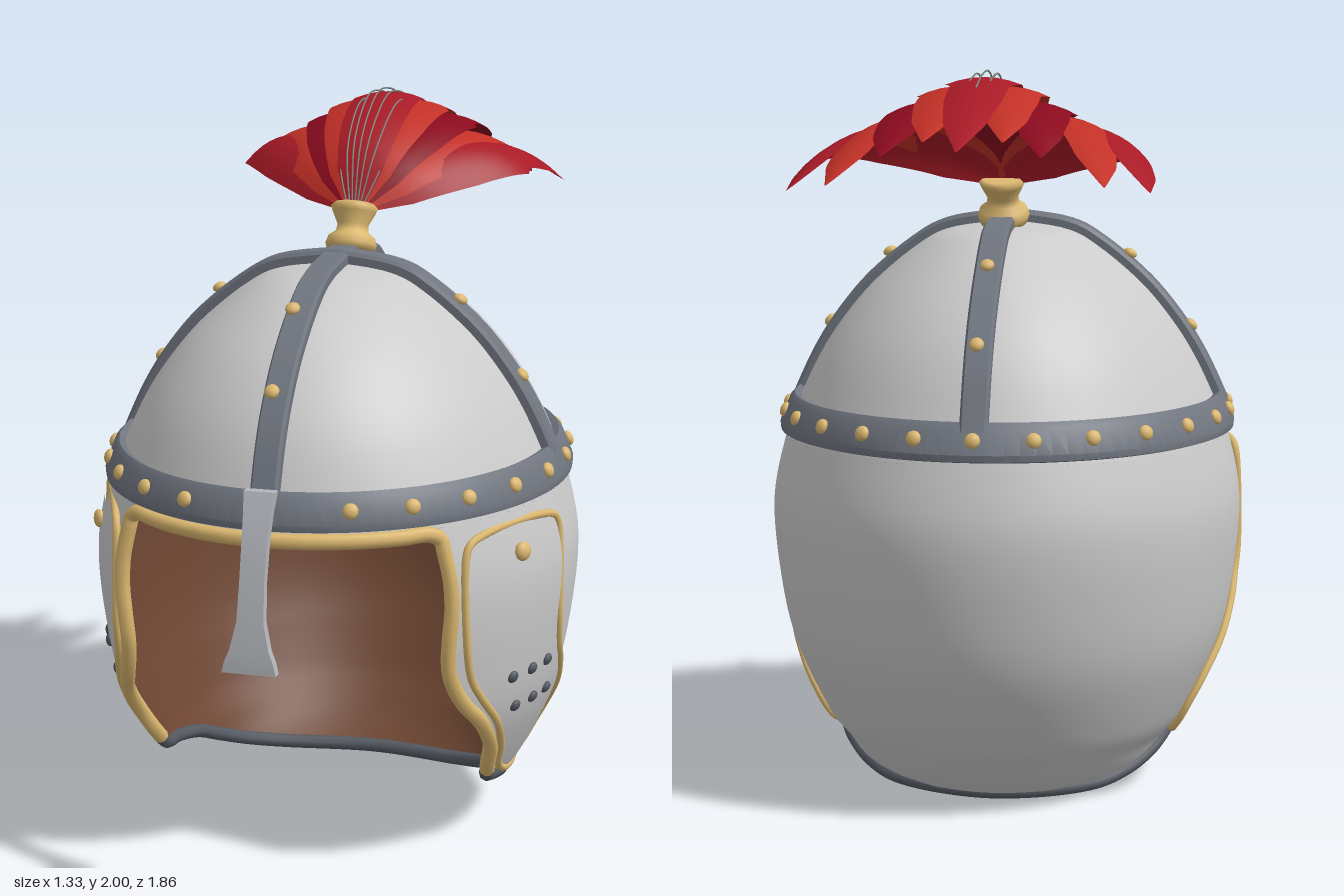
import * as THREE from 'three';
import { mergeVertices, toCreasedNormals } from 'three/addons/utils/BufferGeometryUtils.js';

const V = (x, y, z) => new THREE.Vector3(x, y, z);
const mat = (color, side = THREE.FrontSide) => new THREE.MeshStandardMaterial({ color, side });
const STEEL = mat(0xcccccc), NOSE = mat(0xb4b7bd), IRON = mat(0x70757f), DARK = mat(0x555a63);
const GOLD = mat(0xdcb870), LEATHER = mat(0x6e4632, THREE.DoubleSide), STEM = mat(0x7d857c);
const REDS = [0xa81a26, 0x8a0a1e, 0xc23026].map((c) => mat(c, THREE.DoubleSide));

// Shell sections: height, half width, front z, back z
const ROWS = [
  [0, .36, .38, -.3], [.06, .42, .46, -.385], [.12, .46, .54, -.45], [.2, .52, .62, -.52],
  [.4, .61, .76, -.63], [.6, .65, .81, -.68], [.8, .662, .825, -.695], [.98, .626, .8, -.655],
  [1.08, .588, .77, -.615], [1.2, .53, .72, -.56], [1.3, .465, .655, -.495], [1.4, .38, .56, -.4],
  [1.5, .26, .415, -.27], [1.55, .165, .285, -.16], [1.575, 0, .065, .065],
];
const widthCurve = new THREE.CatmullRomCurve3(ROWS.map((r) => V(r[1], r[0], 0)), false, 'catmullrom');
const depthCurve = new THREE.CatmullRomCurve3(ROWS.map((r) => V(r[2], r[0], r[3])), false, 'catmullrom');

function section(t) {
  const a = widthCurve.getPoint(t), b = depthCurve.getPoint(t);
  return { y: a.y, rx: a.x, c: (b.x + b.z) / 2, r: (b.x - b.z) / 2 };
}
function tOf(y) {
  let lo = 0, hi = 1;
  for (let i = 0; i < 24; i++) {
    const m = (lo + hi) / 2;
    if (widthCurve.getPoint(m).y < y) lo = m; else hi = m;
  }
  return (lo + hi) / 2;
}
// Point on the shell at angle phi from the front, pushed outward by off
function onShell(phi, t, off = 0) {
  const s = section(t);
  const p = V(s.rx * Math.sin(phi), s.y, s.c + s.r * Math.cos(phi));
  return p.addScaledVector(p.clone().sub(V(0, .8, .065)).normalize(), off);
}
function phiAt(z, y) {
  const s = section(tOf(y));
  return Math.acos(THREE.MathUtils.clamp((z - s.c) / s.r, -1, 1));
}
const onSide = (z, y, off) => onShell(phiAt(z, y), tOf(y), off);

// Piecewise linear lookup in rows of [key, value...]
function lookup(table, k, col = 1) {
  let i = 1;
  while (i < table.length - 1 && table[i][0] < k) i++;
  const a = table[i - 1], b = table[i];
  return THREE.MathUtils.lerp(a[col], b[col], THREE.MathUtils.clamp((k - a[0]) / (b[0] - a[0]), 0, 1));
}

// Grid surface from fn(u, v), facing along du x dv
function sheet(fn, nu, nv, crease = 0) {
  const pos = [], idx = [];
  for (let j = 0; j <= nv; j++) for (let i = 0; i <= nu; i++) pos.push(...fn(i / nu, j / nv).toArray());
  for (let j = 0; j < nv; j++) for (let i = 0; i < nu; i++) {
    const a = j * (nu + 1) + i, d = a + nu + 1;
    idx.push(a, a + 1, d, a + 1, d + 1, d);
  }
  let g = new THREE.BufferGeometry();
  g.setAttribute('position', new THREE.Float32BufferAttribute(pos, 3));
  g.setIndex(idx);
  g = mergeVertices(g, 1e-5);
  if (crease) return toCreasedNormals(g, crease);
  g.computeVertexNormals();
  return g;
}

// Front limit of the shell sides: face opening above, neck edge below
const EDGE = [[0, -.3], [.05, -.16], [.12, 0], [.18, .26], [.22, .3], [.3, .36], [.4, .46],
  [.48, .545], [.56, .6], [.64, .62], [.98, .62]];
const edgePhi = (y) => phiAt(lookup(EDGE, y), y);

// Cheek plate outline: height, back z, front z
const CHEEK = [[.15, -.04, .03], [.185, -.06, .19], [.235, -.065, .275], [.3, -.045, .325], [.4, .03, .415],
  [.5, .12, .51], [.56, .17, .55], [.64, .2, .575], [.9, .2, .575], [.928, .22, .555]];

export function createModel() {
  const root = new THREE.Group();
  const add = (name, geo, material, parent = root) => {
    const m = new THREE.Mesh(geo, material);
    m.name = name;
    parent.add(m);
    return m;
  };
  const tube = (name, pts, r, material, closed = false, parent = root, n = 140) =>
    add(name, new THREE.TubeGeometry(new THREE.CatmullRomCurve3(pts, closed), n, r, 8, closed), material, parent);
  const stud = (name, p, r, material, parent = root) => {
    const m = add(name, new THREE.SphereGeometry(r, 12, 8), material, parent);
    m.position.copy(p);
    m.lookAt(p.clone().multiplyScalar(2).sub(V(0, .8, .065)));
    m.scale.z = .65;
  };

  // Shell and lining; the lining meets the shell at the neck edge
  const t98 = tOf(.98), TAU = Math.PI * 2;
  const skirt = (off) => sheet((u, v) => {
    const y = .98 * v, e = edgePhi(y);
    return onShell(e + (TAU - 2 * e) * u, tOf(y), off * Math.min(1, .2 + v * 2.5));
  }, 72, 60);
  const dome = (off) => sheet((u, v) => onShell(TAU * u, t98 + (1 - t98) * v, off), 72, 32);
  add('shellSkirt', skirt(0), STEEL);
  add('shellDome', dome(0), STEEL);
  add('liningSkirt', skirt(-.022), LEATHER);
  add('liningDome', dome(-.022), LEATHER);

  // Gold trim of the face opening and iron neck edge
  const side = (ys) => ys.map((y) => onShell(edgePhi(y), tOf(y)));
  const flip = (pts) => pts.map((p) => V(-p.x, p.y, p.z)).reverse();
  const face = side([.2, .24, .3, .36, .42, .48, .54, .6, .68, .76, .84, .92, .95]);
  const brow = [], browPhi = edgePhi(.97) - .04;
  for (let i = 0; i <= 12; i++) brow.push(onShell(browPhi * (1 - i / 6), tOf(.967)));
  tube('faceTrim', [...face, ...brow, ...flip(face)], .021, GOLD, false, root, 220);
  const neck = side([.2, .18, .15, .12, .085, .05, .025]);
  tube('neckEdge', [...neck, V(0, .012, -.3), ...flip(neck)], .02, DARK);

  // Brow band
  const bandProfile = [[.99, -.01], [.99, .02], [1.005, .027], [1.07, .027], [1.086, .02], [1.086, -.01]];
  add('browBand', sheet((u, v) => {
    const [y, off] = bandProfile[Math.round(v * 5)];
    return onShell(TAU * u, tOf(y), off);
  }, 96, 5, .5), IRON);

  // Straps crossing over the dome
  const strapProfile = [[-.037, -.02], [-.037, .02], [-.03, .03], [.03, .03], [.037, .02], [.037, -.02]];
  const tBand = tOf(1.06);
  const strap = (phi, place) => sheet((u, v) => {
    const s = Math.abs(2 * u - 1), [w, off] = strapProfile[Math.round(v * 5)];
    return place(onShell(u < .5 ? phi : phi + Math.PI, 1 - (1 - tBand) * s, off), w);
  }, 60, 5, .5);
  add('lengthStrap', strap(0, (p, w) => p.setX(-w)), IRON);
  add('crossStrap', strap(Math.PI / 2, (p, w) => p.setZ(.1 + w)), IRON);

  // Rivets
  for (let k = 0; k < 12; k++) for (const s of k === 11 ? [1] : [1, -1])
    stud('bandRivet', onShell(s * (.36 + .2529 * k), tOf(1.04), .029), .021, GOLD);
  for (const [x, y, z] of [[0, 1.335, .715], [0, 1.515, .53], [0, 1.48, -.37], [0, 1.29, -.575],
    [.52, 1.28, .1], [-.52, 1.28, .1], [.345, 1.48, .1], [-.345, 1.48, .1]])
    stud('strapRivet', V(x, y, z), .02, GOLD);

  // Nose guard: height, half width, z
  const nose = [[.648, 0, .915], [.648, .072, .915], [.675, .066, .914], [.71, .052, .91], [.78, .036, .9],
    [.88, .033, .882], [.98, .034, .857], [1.05, .037, .832], [1.1, .042, .812], [1.1, 0, .812]];
  add('noseGuard', sheet((u, v) => {
    const [y, w, z] = nose[Math.round(v * 9)], i = Math.round(u * 4) % 4;
    const d = w ? .013 : 0;
    return V(i === 1 || i === 2 ? w : -w, y, z + (i < 2 ? d : -d));
  }, 4, 9, .5), NOSE);

  // Cheek plates
  for (const s of [1, -1]) {
    const cheek = new THREE.Group();
    cheek.name = s > 0 ? 'leftCheek' : 'rightCheek';
    cheek.scale.x = s;
    root.add(cheek);
    add('cheekPlate', sheet((u, v) => {
      const y = .15 + .778 * v;
      return onSide(THREE.MathUtils.lerp(lookup(CHEEK, y, 2), lookup(CHEEK, y, 1), u), y, .01);
    }, 16, 50), STEEL, cheek);
    const rim = [...CHEEK.map((r) => onSide(r[2], r[0], .01)),
      ...CHEEK.slice().reverse().map((r) => onSide(r[1], r[0], .01))];
    tube('cheekTrim', rim, .011, GOLD, true, cheek);
    stud('cheekRivet', onSide(.41, .875, .018), .026, GOLD, cheek);
    for (const [y, z0] of [[.53, .412], [.435, .367]])
      for (let i = 0; i < 3; i++) stud('cheekStud', onSide(z0 - .084 * i, y, .012), .018, DARK, cheek);
  }

  // Plume socket
  const socket = add('plumeSocket', new THREE.LatheGeometry([[0, 0], [.066, 0], [.072, .02], [.066, .04], [.046, .055],
    [.043, .075], [.06, .11], [.066, .125], [.055, .135], [0, .13]].map((p) => new THREE.Vector2(...p)), 28), GOLD);
  socket.position.set(0, 1.575, -.02);
  socket.rotation.x = -.35;

  // Feathers: a bowed blade along a curve, rolled to fan outward
  const blade = [[0, .02], [.15, .065], [.35, .09], [.55, .1], [.6, .078], [.72, .075], [.86, .055], [1, .002]];
  const feather = (mid, tip, roll, material) => {
    const base = V(0, 1.69, -.06);
    const rise = V(mid.x * .52, THREE.MathUtils.lerp(base.y, mid.y, .62), -.17);
    const fall = mid.clone().lerp(tip, .5).add(V(0, .035, 0));
    const path = new THREE.CatmullRomCurve3([base, rise, mid, fall, tip]);
    const across = V(Math.cos(roll), -Math.sin(roll), 0), down = V(-Math.sin(roll), -Math.cos(roll), 0);
    add('feather', sheet((u, v) => {
      const k = 2 * u - 1, w = lookup(blade, v);
      return path.getPoint(v).addScaledVector(across, k * w).addScaledVector(down, k * k * w * .2);
    }, 6, 40), material);
  };
  feather(V(0, 1.975, -.4), V(0, 1.8, -.93), 0, REDS[0]);
  for (const s of [1, -1]) {
    feather(V(.075 * s, 1.95, -.4), V(.1 * s, 1.82, -.82), .08 * s, REDS[2]);
    feather(V(.15 * s, 1.91, -.42), V(.2 * s, 1.785, -.87), .15 * s, REDS[1]);
    feather(V(.25 * s, 1.865, -.38), V(.35 * s, 1.71, -.8), .32 * s, REDS[2]);
    feather(V(.33 * s, 1.825, -.35), V(.46 * s, 1.695, -.75), .5 * s, REDS[0]);
  }

  // Thin plume stems
  for (let i = -3; i <= 3; i++) {
    const f = i / 3, drop = .07 * f * f;
    tube('plumeStem', [V(.02 * f, 1.69, -.06), V(.06 * f, 1.87 - drop, -.13), V(.08 * f, 1.985 - drop, -.3),
      V(.08 * f, 1.985 - drop, -.45), V(.08 * f, 1.95 - drop, -.58)], .0025, STEM, false, root, 24);
  }
  return root;
}
